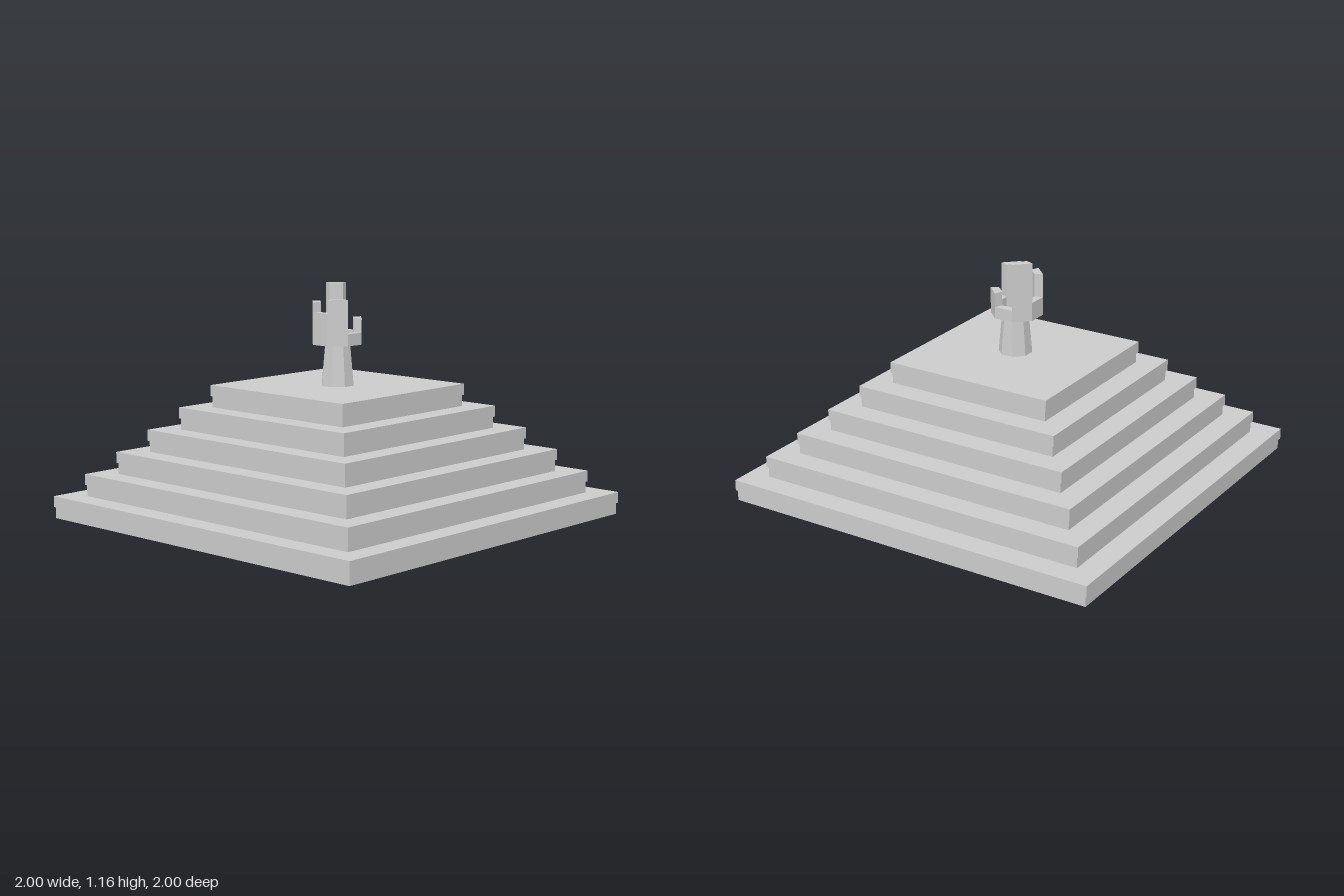
import * as THREE from 'three';

const material = new THREE.MeshStandardMaterial({ color: 0xcccccc, flatShading: true });

function add(parent, name, geometry, x = 0, y = 0, z = 0) {
  const mesh = new THREE.Mesh(geometry, material);
  mesh.name = name;
  mesh.position.set(x, y, z);
  parent.add(mesh);
}

export function createModel() {
  const model = new THREE.Group();
  model.name = 'steppedPyramid';

  // Six square tiers, each with a slightly inset foot under its slab
  const tiers = 6, rise = 0.111, half = rise / 2;
  const base = new THREE.Group();
  base.name = 'tiers';
  model.add(base);
  for (let i = 0; i < tiers; i++) {
    const width = 2 * (1 - i * rise);
    const y = i * rise;
    add(base, 'tierFoot', new THREE.BoxGeometry(width - 0.014, half, width - 0.014), -0.003, y + half / 2, 0.003);
    add(base, 'tierSlab', new THREE.BoxGeometry(width, half, width), 0, y + half * 1.5, 0);
  }

  // Tapered octagonal shaft, a little off the middle
  const toCorner = 1 / Math.cos(Math.PI / 8);
  const plateau = tiers * rise, crownBase = 0.87;
  const shaft = new THREE.CylinderGeometry(0.061 * toCorner, 0.078 * toCorner, crownBase - plateau, 8);
  shaft.rotateY(Math.PI / 8);
  add(model, 'shaft', shaft, -0.012, (plateau + crownBase) / 2, 0.012);

  // Ruined octagonal crown: eight wall pieces of uneven height, from the front round by +x
  const crown = new THREE.Group();
  crown.name = 'crown';
  model.add(crown);
  const tops = [0.93, 1.0, 0.93, 1.165, 0.963, 1.08, 1.03, 1.097];
  const outer = 0.12 * toCorner, inner = 0.08 * toCorner;
  tops.forEach((top, i) => {
    const a = (i - 0.5) * Math.PI / 4, b = a + Math.PI / 4;
    const corner = (r, t) => new THREE.Vector2(r * Math.sin(t), -r * Math.cos(t));
    const shape = new THREE.Shape([corner(outer, a), corner(outer, b), corner(inner, b), corner(inner, a)]);
    const wall = new THREE.ExtrudeGeometry(shape, { depth: top - crownBase, bevelEnabled: false });
    wall.rotateX(-Math.PI / 2);
    add(crown, 'crownWall', wall, -0.002, crownBase, -0.002);
  });

  return model;
}
